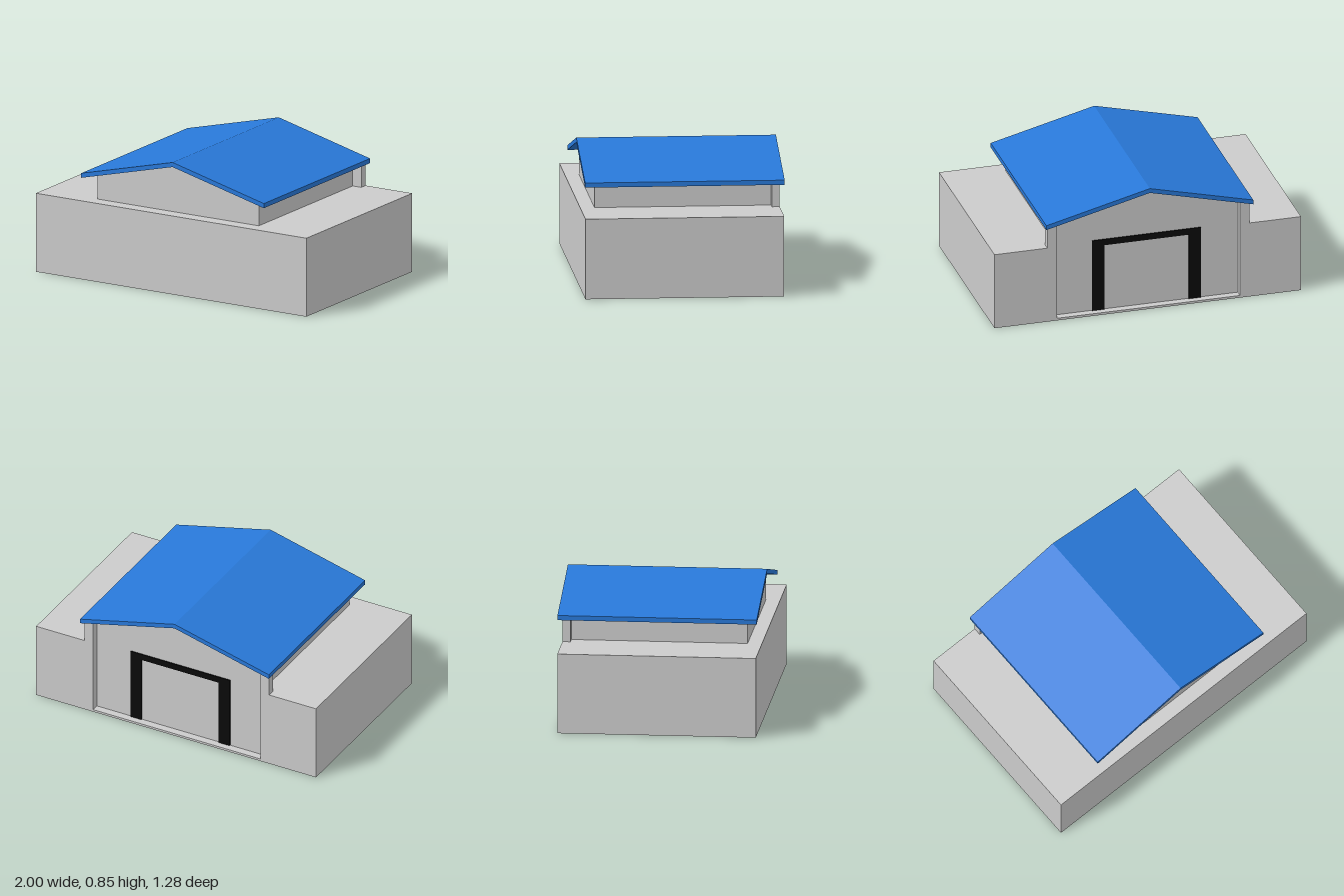
import * as THREE from 'three';

const grey = new THREE.MeshStandardMaterial({ color: 0xcccccc, flatShading: true });
const blue = new THREE.MeshStandardMaterial({ color: 0x2878d8, flatShading: true });
const black = new THREE.MeshStandardMaterial({ color: 0x0a0a0a, flatShading: true });

const BACK = -0.61, WALL = -0.56, FRONT = 0.64; // z of bank back, rear wall, bank front
const GROUND = 0.51, CENTRE = -0.005;           // bank height, x of the ridge
const HALF = 0.597, LIP = 0.015;                // half width of the hall, sill height

// Height of the roof's underside at distance x from the ridge
const under = (x) => 0.82 - 0.25 * Math.abs(x);

// Extrude an outline given in x and y from z0 to z1
function prism(name, points, z0, z1, material, hole) {
  const shape = new THREE.Shape(points.map(([x, y]) => new THREE.Vector2(x, y)));
  if (hole) shape.holes.push(new THREE.Path(hole.map(([x, y]) => new THREE.Vector2(x, y))));
  const geometry = new THREE.ExtrudeGeometry(shape, { depth: z1 - z0, bevelEnabled: false });
  geometry.translate(0, 0, z0);
  const mesh = new THREE.Mesh(geometry, material);
  mesh.name = name;
  return mesh;
}

export function createModel() {
  const model = new THREE.Group();
  model.name = 'bankedHall';

  // Earth bank: plan outline with a notch at the back, raised to ground level
  const l = CENTRE - HALF, r = CENTRE + HALF;
  const bank = prism('earthBank', [
    [-1, -FRONT], [1, -FRONT], [1, -BACK], [r, -BACK],
    [r, -WALL], [l, -WALL], [l, -BACK], [-1, -BACK],
  ], 0, GROUND, grey);
  bank.rotation.x = -Math.PI / 2;
  model.add(bank);

  const hall = new THREE.Group();
  hall.name = 'hall';
  hall.position.x = CENTRE;
  model.add(hall);

  // Sill on the floor of the notch
  hall.add(prism('sill', [[-HALF, 0], [HALF, 0], [HALF, LIP], [-HALF, LIP]], BACK, WALL, grey));

  // Gabled walls above the bank
  hall.add(prism('gabledWalls', [
    [-HALF, GROUND], [HALF, GROUND], [HALF, under(HALF)], [0, under(0)], [-HALF, under(HALF)],
  ], WALL, 0.55, grey));

  // Short piers either side of the rear opening
  for (const s of [-1, 1]) {
    const pier = [[s * HALF, GROUND], [s * 0.66, GROUND], [s * 0.66, under(0.66)], [s * HALF, under(HALF)]];
    hall.add(prism(s > 0 ? 'leftPier' : 'rightPier', pier, BACK, WALL, grey));
  }

  // Doorway frame standing just proud of the rear wall
  const w = 0.355, t = 0.08, top = 0.5;
  hall.add(prism('doorFrame', [
    [-w, LIP], [-w + t, LIP], [-w + t, top - 0.04], [w - t, top - 0.04],
    [w - t, LIP], [w, LIP], [w, top], [-w, top],
  ], WALL - 0.008, WALL, black));

  // Pitched roof: one folded slab
  const e = 0.675, thick = 0.03;
  hall.add(prism('roof', [
    [-e, under(e)], [0, under(0)], [e, under(e)],
    [e, under(e) + thick], [0, under(0) + thick], [-e, under(e) + thick],
  ], -0.64, 0.615, blue));

  return model;
}
